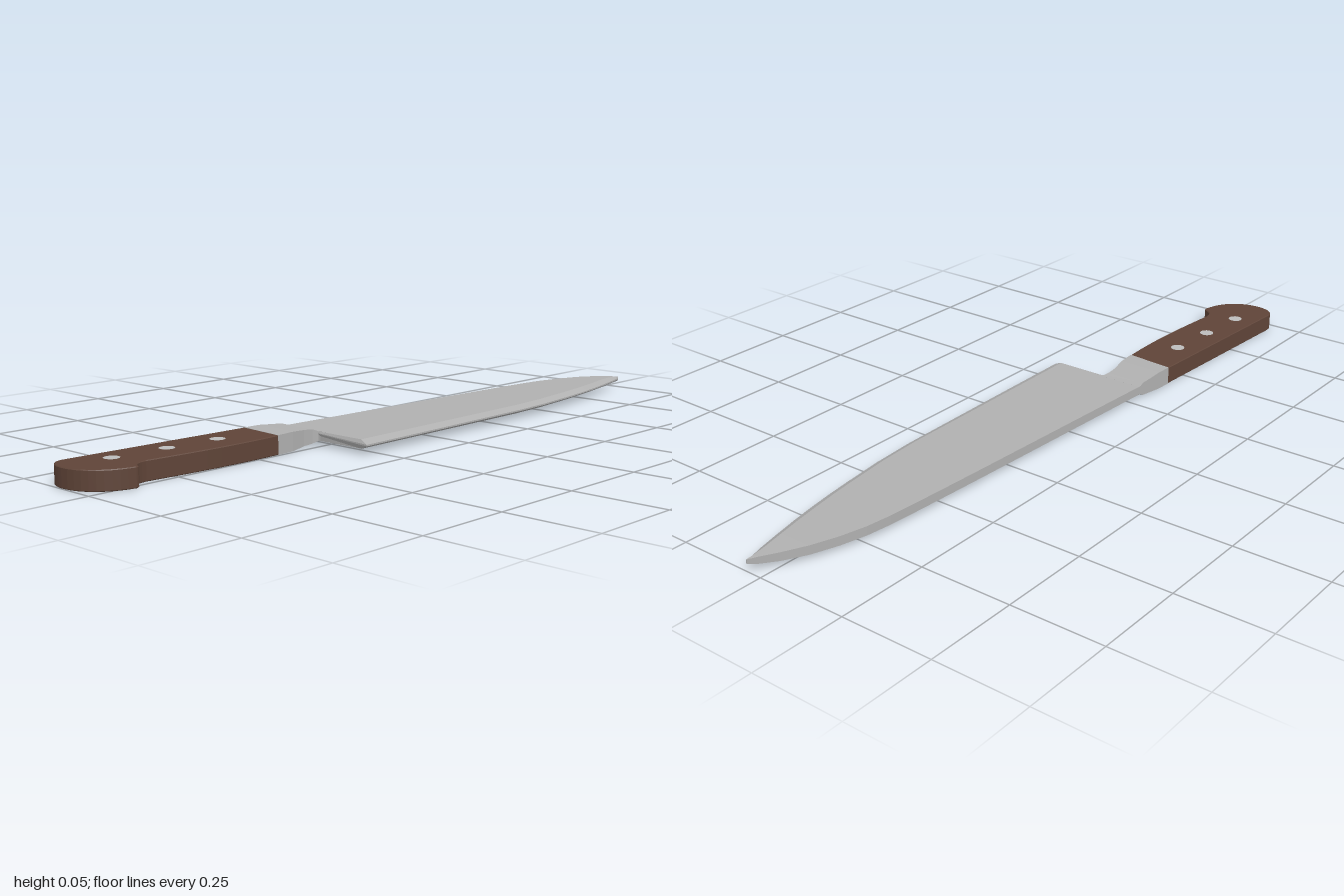
import * as THREE from 'three';

const MID = 0.025; // mid height of the knife lying on its side

// Joins rings of points along x into a closed faceted solid
function loft(rings) {
  const out = [];
  const tri = (a, b, c) => out.push(...a, ...b, ...c);
  const n = rings[0].length;
  for (let i = 0; i < rings.length - 1; i++) {
    for (let j = 0; j < n; j++) {
      const k = (j + 1) % n;
      const a = rings[i][j], b = rings[i][k], c = rings[i + 1][k], d = rings[i + 1][j];
      tri(a, b, c);
      tri(a, c, d);
    }
  }
  const first = rings[0], last = rings[rings.length - 1];
  for (let j = 1; j < n - 1; j++) {
    tri(first[0], first[j + 1], first[j]);
    tri(last[0], last[j], last[j + 1]);
  }
  const geo = new THREE.BufferGeometry();
  geo.setAttribute('position', new THREE.Float32BufferAttribute(out, 3));
  geo.computeVertexNormals();
  return geo;
}

export function createModel() {
  const group = new THREE.Group();
  const steel = new THREE.MeshStandardMaterial({ color: 0xb0b0b0 });
  steel.name = 'steel';
  const wood = new THREE.MeshStandardMaterial({ color: 0x5f4438 });
  wood.name = 'dark wood';
  const rivetSteel = new THREE.MeshStandardMaterial({ color: 0xbcbcbc });
  rivetSteel.name = 'rivet steel';
  const add = (geo, mat, name) => {
    const mesh = new THREE.Mesh(geo, mat);
    mesh.name = name;
    group.add(mesh);
    return mesh;
  };

  // Blade: x, spine z, edge z, bevel width, half thickness
  const stations = [
    [-0.287, -0.133, 0.163, 0.023, 0.012],
    [0.0, -0.119, 0.158, 0.022, 0.012],
    [0.35, -0.102, 0.151, 0.02, 0.012],
    [0.48, -0.095, 0.142, 0.02, 0.012],
    [0.6, -0.088, 0.127, 0.02, 0.012],
    [0.67, -0.083, 0.117, 0.02, 0.012],
    [0.74, -0.074, 0.105, 0.02, 0.012],
    [0.81, -0.057, 0.091, 0.019, 0.012],
    [0.88, -0.032, 0.075, 0.018, 0.012],
    [0.94, -0.001, 0.06, 0.015, 0.011],
    [0.98, 0.026, 0.048, 0.008, 0.009],
    [1.0, 0.041, 0.043, 0.001, 0.006],
  ];
  add(loft(stations.map(([x, spine, edge, bevel, h], i) => [
    [x, MID + h, spine],
    [i ? x : -0.286, MID + h, edge - bevel],
    [i ? x : -0.291, MID + 0.002, edge],
    [i ? x : -0.291, MID - 0.002, edge],
    [i ? x : -0.286, MID - h, edge - bevel],
    [x, MID - h, spine],
  ])), steel, 'blade');

  // Bolster: spine x, belly x, spine z, belly z, half thickness
  const collar = [
    [-0.422, -0.433, -0.14, -0.003, 0.025],
    [-0.375, -0.378, -0.138, -0.008, 0.025],
    [-0.33, -0.33, -0.136, -0.018, 0.021],
    [-0.3, -0.3, -0.134, -0.018, 0.0185],
    [-0.291, -0.288, -0.1335, -0.009, 0.0125],
    [-0.283, -0.281, -0.133, 0.02, 0.0121],
  ];
  add(loft(collar.map(([xs, xb, zs, zb, h]) => [
    [xs, MID + h, zs], [xb, MID + h, zb], [xb, MID - h, zb], [xs, MID - h, zs],
  ])), steel, 'bolster');

  // Handle outline with a rounded, hooked butt (shape y is -z)
  const outline = new THREE.Shape();
  outline.moveTo(-0.422, 0.14);
  outline.lineTo(-0.945, 0.163);
  outline.bezierCurveTo(-0.98, 0.168, -1.0, 0.14, -1.0, 0.1);
  outline.bezierCurveTo(-1.0, 0.03, -0.95, -0.012, -0.885, -0.021);
  outline.bezierCurveTo(-0.865, -0.022, -0.88, 0.012, -0.83, 0.015);
  outline.bezierCurveTo(-0.74, 0.008, -0.6, -0.008, -0.433, 0.003);
  outline.closePath();
  const handle = new THREE.ExtrudeGeometry(outline, {
    depth: 0.046, curveSegments: 10,
    bevelEnabled: true, bevelThickness: 0.002, bevelSize: 0.002, bevelOffset: -0.002, bevelSegments: 1,
  });
  handle.rotateX(-Math.PI / 2).translate(0, 0.002, 0);
  add(handle, wood, 'handle');

  // Rivets showing on both faces of the handle
  for (const [x, z] of [[-0.865, -0.097], [-0.712, -0.088], [-0.562, -0.081]]) {
    const rivet = add(new THREE.CylinderGeometry(0.02, 0.02, 0.051, 12), rivetSteel, 'rivet');
    rivet.position.set(x, MID, z);
  }
  return group;
}
